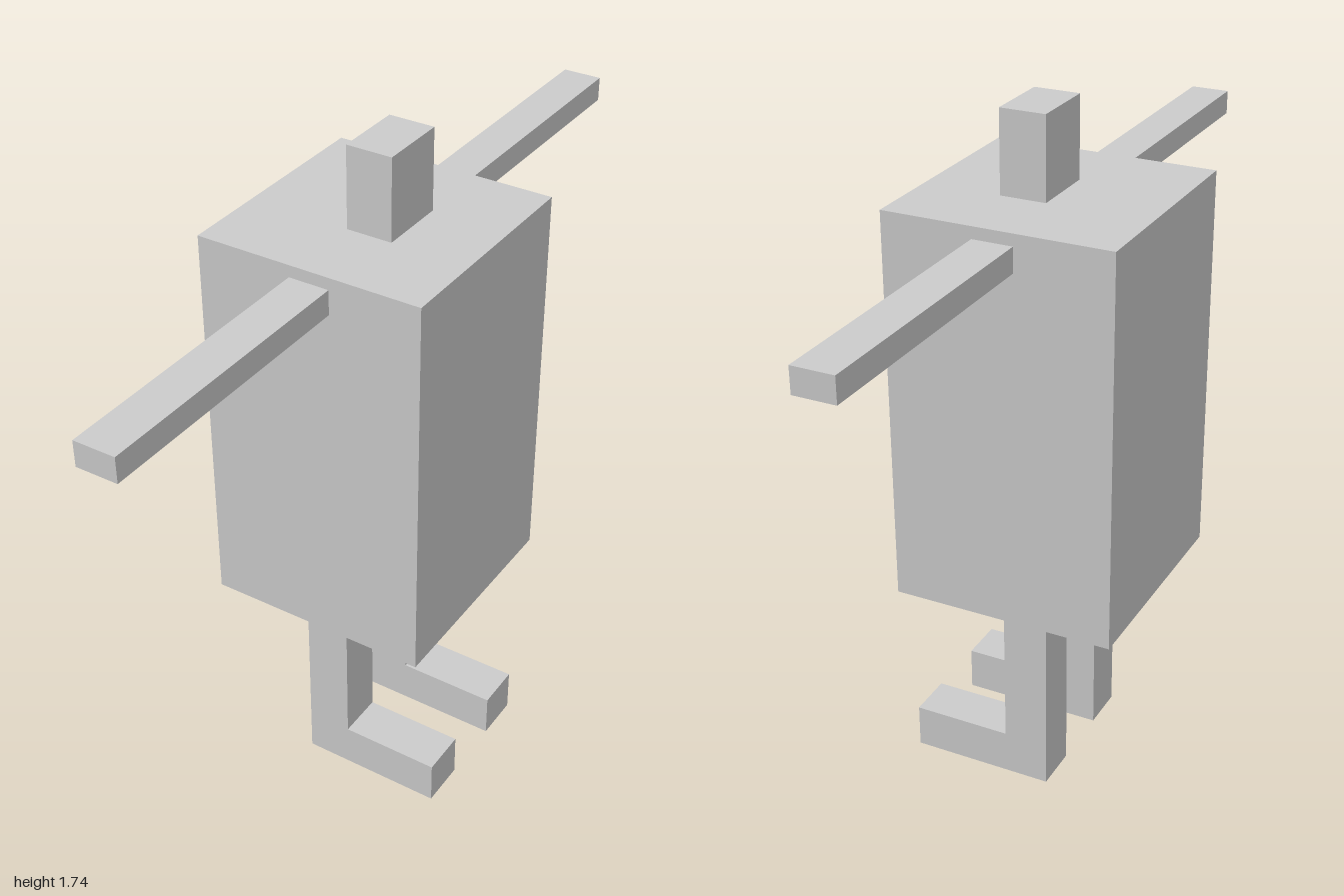
import * as THREE from 'three';

const material = new THREE.MeshStandardMaterial({ color: 0xcccccc, flatShading: true });

// Box given by its lower and upper corners
function block(name, [x0, y0, z0], [x1, y1, z1]) {
  const mesh = new THREE.Mesh(new THREE.BoxGeometry(x1 - x0, y1 - y0, z1 - z0), material);
  mesh.position.set((x0 + x1) / 2, (y0 + y1) / 2, (z0 + z1) / 2);
  mesh.name = name;
  return mesh;
}

export function createModel() {
  const model = new THREE.Group();
  model.name = 'blockFigure';

  model.add(block('body', [-0.29, 0.527, -0.288], [0.285, 1.53, 0.288]));
  model.add(block('head', [-0.028, 1.53, -0.088], [0.088, 1.735, 0.088]));

  // L-shaped profile of a leg with its foot pointing to +x
  const legShape = new THREE.Shape([
    [-0.083, 0], [0.29, 0], [0.29, 0.115], [0.033, 0.115], [0.033, 0.527], [-0.083, 0.527],
  ].map(([x, y]) => new THREE.Vector2(x, y)));
  const legWidth = 0.12;
  const legGeometry = new THREE.ExtrudeGeometry(legShape, { depth: legWidth, bevelEnabled: false });
  legGeometry.translate(0, 0, -legWidth / 2);

  // One arm and one leg on each side along z
  for (const [side, s] of [['front', 1], ['back', -1]]) {
    const inner = 0.288 * s;
    model.add(block(side + 'Arm',
      [-0.047, 1.438, Math.min(inner, s)], [0.055, 1.5, Math.max(inner, s)]));

    const leg = new THREE.Mesh(legGeometry, material);
    leg.name = side + 'LegAndFoot';
    leg.position.z = 0.145 * s;
    model.add(leg);
  }
  return model;
}
